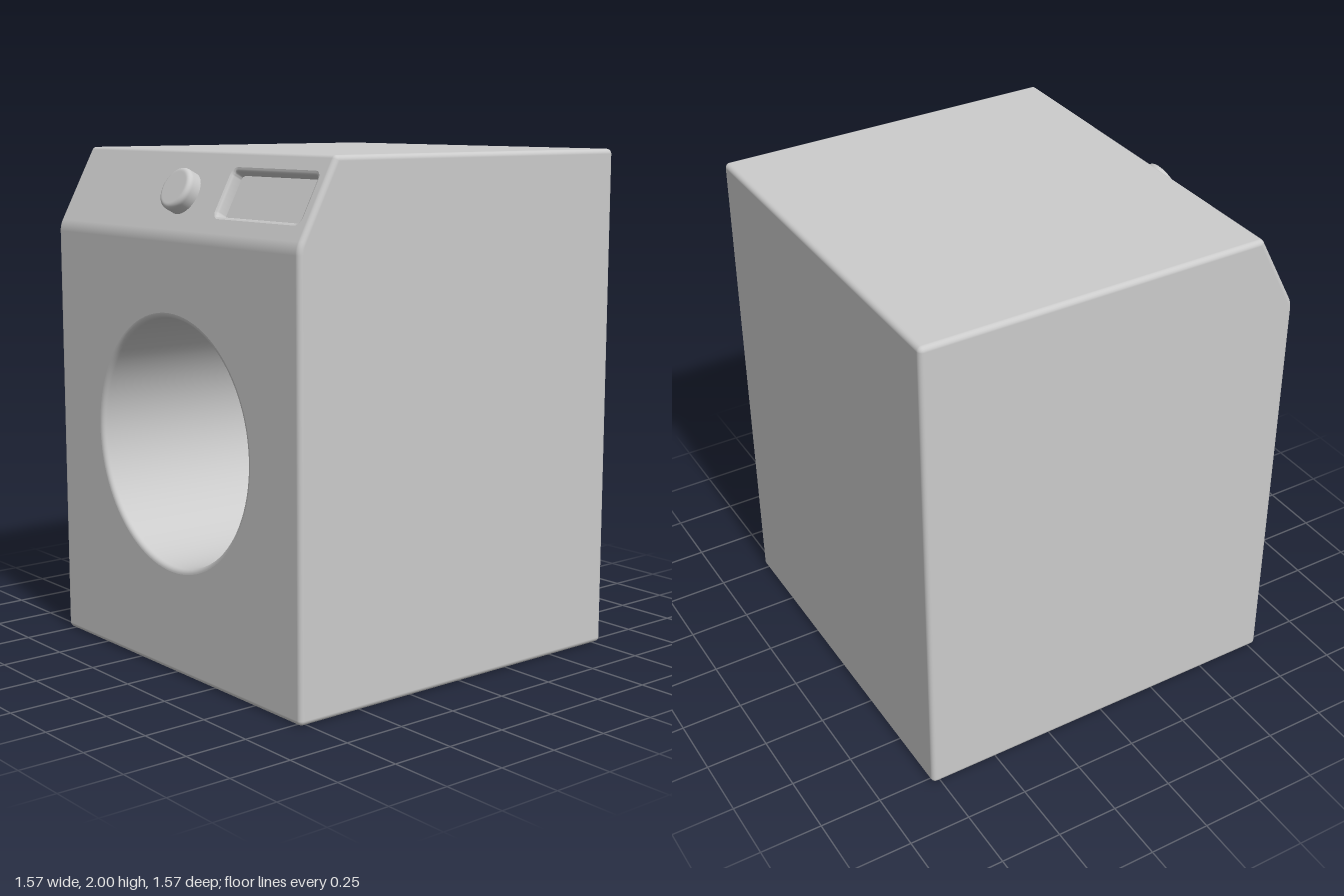
import * as THREE from 'three';
import { toCreasedNormals } from 'three/addons/utils/BufferGeometryUtils.js';

const HALF = 0.785;                   // half width and half depth
const EDGE = 0.02;                    // edge rounding
const FOLD = 0.1;                     // softer rounding where the panel leans back
const FOLD_Y = 1.69, TOP_Z = 0.62, HEIGHT = 2;
const LEAN = Math.atan2(HALF - TOP_Z, HEIGHT - FOLD_Y);
const PANEL_LENGTH = Math.hypot(HALF - TOP_Z, HEIGHT - FOLD_Y);
const FOLD_TRIM = FOLD * Math.tan(LEAN / 2);
const TOP_TRIM = EDGE * Math.tan((Math.PI / 2 - LEAN) / 2);
const INNER = HALF - EDGE;
const DOOR_Y = 0.9, RIM_R = 0.5, DRUM_R = 0.48, DRUM_DEPTH = 1.3;

const material = new THREE.MeshStandardMaterial({ color: 0xcccccc });

function addMesh(parent, name, geometry) {
  const mesh = new THREE.Mesh(geometry, material);
  mesh.name = name;
  parent.add(mesh);
  return mesh;
}

// Rounded rectangle as a counter-clockwise point loop
function roundedLoop(x0, x1, y0, y1, r, steps = 6) {
  const loop = [];
  [[x1 - r, y0 + r], [x1 - r, y1 - r], [x0 + r, y1 - r], [x0 + r, y0 + r]].forEach(([cx, cy], k) => {
    for (let i = 0; i <= steps; i++) {
      const a = (k - 1 + i / steps) * Math.PI / 2;
      loop.push(new THREE.Vector2(cx + r * Math.cos(a), cy + r * Math.sin(a)));
    }
  });
  return loop;
}

function rectangle(x0, x1, y0, y1) {
  return new THREE.Shape([[x0, y0], [x1, y0], [x1, y1], [x0, y1]].map(p => new THREE.Vector2(...p)));
}

// Cabinet shell: side profile (z, y) swept across x with rounded edges,
// left open where the front plate and the leaning panel go
function cabinetGeometry() {
  const corners = [
    [-HALF, 0, EDGE], [HALF, 0, EDGE], [HALF, FOLD_Y, FOLD], [TOP_Z, HEIGHT, EDGE], [-HALF, HEIGHT, EDGE],
  ];
  const n = corners.length, arc = 6, profile = [];
  const edgeAngle = k => {
    const a = corners[(k + n) % n], b = corners[(k + 1) % n];
    return Math.atan2(a[0] - b[0], b[1] - a[1]);   // direction of the outward normal
  };
  corners.forEach(([z, y, r], k) => {
    const from = edgeAngle(k - 1);
    let turn = edgeAngle(k) - from;
    if (turn < 0) turn += Math.PI * 2;
    const mid = from + turn / 2, reach = r / Math.cos(turn / 2);
    const cz = z - reach * Math.cos(mid), cy = y - reach * Math.sin(mid);
    for (let i = 0; i <= arc; i++) {
      const a = from + turn * i / arc;
      profile.push({ cz, cy, r, nz: Math.cos(a), ny: Math.sin(a) });
    }
  });

  const rows = [];
  for (const side of [-1, 1]) {
    for (let i = 0; i <= 5; i++) {
      const t = (side < 0 ? i - 5 : i) / 5 * Math.PI / 2;
      rows.push({ x: side * INNER + EDGE * Math.sin(t), c: Math.cos(t), s: Math.sin(t) });
    }
  }
  const position = [], normal = [], index = [], m = profile.length;
  for (const row of rows) {
    for (const p of profile) {
      const reach = p.r - EDGE + EDGE * row.c;
      position.push(row.x, p.cy + reach * p.ny, p.cz + reach * p.nz);
      normal.push(row.s, row.c * p.ny, row.c * p.nz);
    }
  }
  const openings = [2 * (arc + 1) - 1, 3 * (arc + 1) - 1];   // front and leaning panel
  for (let j = 0; j < rows.length - 1; j++) {
    for (let i = 0; i < m; i++) {
      if (j === 5 && openings.includes(i)) continue;
      const k = (i + 1) % m;
      const a = j * m + i, b = a + m, c = (j + 1) * m + k, d = j * m + k;
      index.push(a, b, c, a, c, d);
    }
  }
  // Flat sides
  const last = (rows.length - 1) * m;
  for (let i = 1; i < m - 1; i++) index.push(0, i, i + 1, last, last + i + 1, last + i);

  const geometry = new THREE.BufferGeometry();
  geometry.setAttribute('position', new THREE.Float32BufferAttribute(position, 3));
  geometry.setAttribute('normal', new THREE.Float32BufferAttribute(normal, 3));
  geometry.setIndex(index);
  return geometry;
}

// Walls of the tray recess, lofted inward through [inset, depth] steps
function recessGeometry(loopAt, steps) {
  const position = [], index = [];
  const m = loopAt(0).length;
  for (const [inset, depth] of steps) for (const p of loopAt(inset)) position.push(p.x, p.y, -depth);
  for (let j = 0; j < steps.length - 1; j++) {
    for (let i = 0; i < m; i++) {
      const k = (i + 1) % m, a = j * m + i, b = j * m + k;
      index.push(a, b, b + m, a, b + m, a + m);
    }
  }
  const geometry = new THREE.BufferGeometry();
  geometry.setAttribute('position', new THREE.Float32BufferAttribute(position, 3));
  geometry.setIndex(index);
  return toCreasedNormals(geometry, 0.7);
}

export function createModel() {
  const model = new THREE.Group();
  model.name = 'washingMachine';
  addMesh(model, 'cabinet', cabinetGeometry());

  // Front plate with the round door opening
  const front = rectangle(-INNER, INNER, EDGE, FOLD_Y - FOLD_TRIM);
  front.holes.push(new THREE.Path().absarc(0, DOOR_Y, RIM_R, 0, Math.PI * 2, true));
  addMesh(model, 'frontPlate', new THREE.ShapeGeometry(front, 48)).position.z = HALF;

  // Drum with a rounded rim
  const drum = new THREE.Group();
  drum.name = 'drum';
  drum.position.set(0, DOOR_Y, HALF);
  model.add(drum);
  const lip = RIM_R - DRUM_R, wall = [];
  for (let i = 0; i <= 6; i++) {
    const a = i / 6 * Math.PI / 2;
    wall.push(new THREE.Vector2(RIM_R - lip * Math.sin(a), -lip * (1 - Math.cos(a))));
  }
  wall.push(new THREE.Vector2(DRUM_R, -lip - 0.01), new THREE.Vector2(DRUM_R, -DRUM_DEPTH));
  addMesh(drum, 'drumWall', new THREE.LatheGeometry(wall, 96).rotateX(Math.PI / 2));
  addMesh(drum, 'drumBack', new THREE.CircleGeometry(DRUM_R, 96)).position.z = -DRUM_DEPTH;

  // Leaning control panel; its own y runs up the slope
  const panel = new THREE.Group();
  panel.name = 'controlPanel';
  panel.position.set(0, FOLD_Y, HALF);
  panel.rotation.x = -LEAN;
  model.add(panel);
  const trayLoop = d => roundedLoop(0.23 + d, 0.74 - d, 0.082 + d, 0.29 - d, 0.032 - d);
  const face = rectangle(-INNER, INNER, FOLD_TRIM, PANEL_LENGTH - TOP_TRIM);
  face.holes.push(new THREE.Path(trayLoop(0).reverse()));
  addMesh(panel, 'panelFace', new THREE.ShapeGeometry(face));

  // Detergent tray recess
  const steps = [[0, 0], [0.006, 0.002], [0.011, 0.006], [0.013, 0.013], [0.013, 0.045]];
  addMesh(panel, 'trayWalls', recessGeometry(trayLoop, steps));
  addMesh(panel, 'trayFloor', new THREE.ShapeGeometry(new THREE.Shape(trayLoop(0.013)))).position.z = -0.045;

  // Program knob
  const R = 0.085, H = 0.056, r = 0.018;
  const knob = [new THREE.Vector2(R, -0.01), new THREE.Vector2(R, H - r - 0.004)];
  for (let i = 0; i <= 6; i++) {
    const a = i / 6 * Math.PI / 2;
    knob.push(new THREE.Vector2(R - r + r * Math.cos(a), H - r + r * Math.sin(a)));
  }
  knob.push(new THREE.Vector2(R - r - 0.004, H), new THREE.Vector2(0, H));
  addMesh(panel, 'knob', new THREE.LatheGeometry(knob, 48).rotateX(Math.PI / 2)).position.y = 0.173;

  return model;
}
